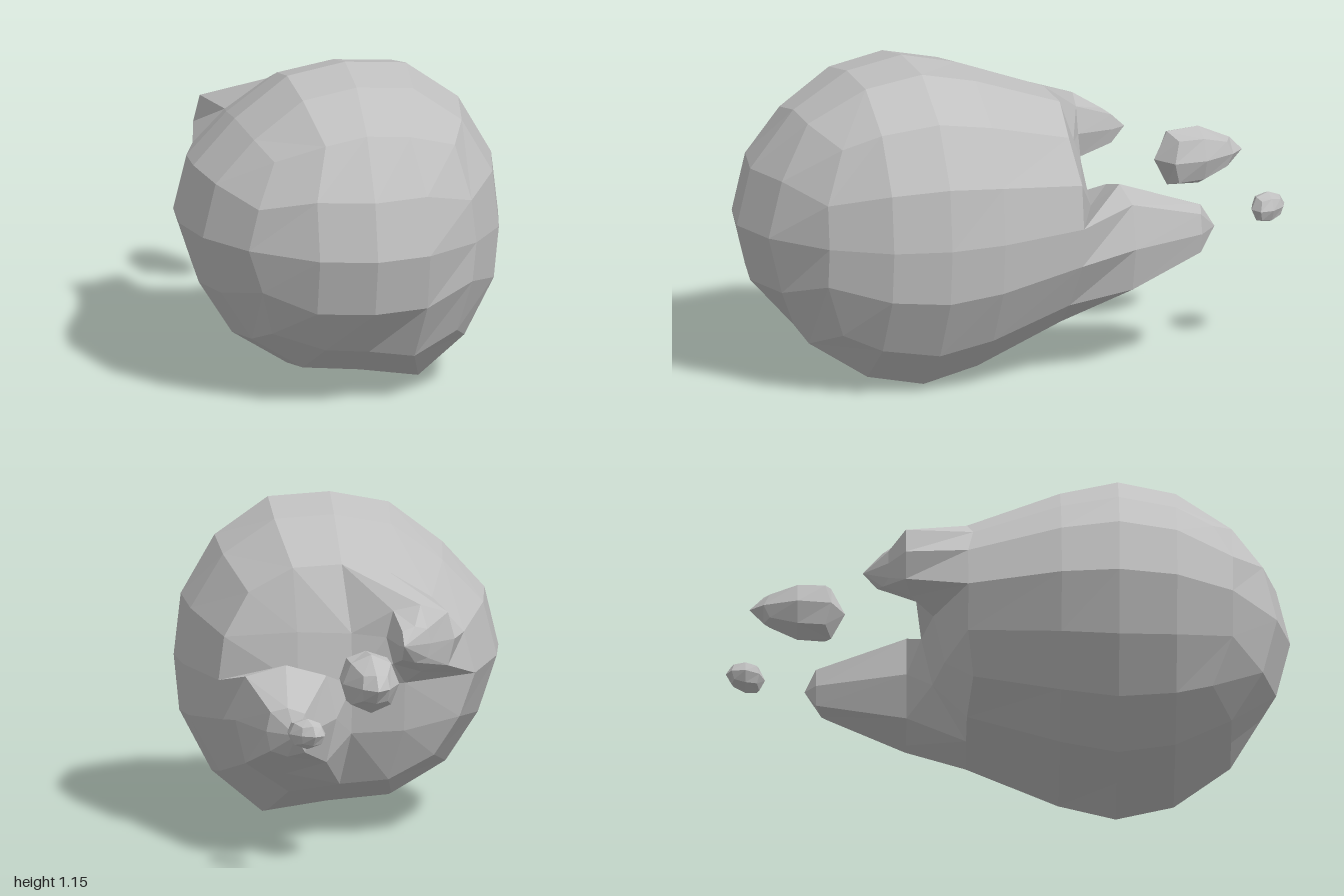
import * as THREE from 'three';

const grey = new THREE.MeshStandardMaterial({ color: 0xc0c0c0 });
grey.name = 'plain grey';

// widest cross-section, counter-clockwise from the lower left corner (4 steps per side)
const OUTLINE = [
  [-0.39, 0.18], [-0.19, 0.055], [0.03, 0.035], [0.26, 0], [0.44, 0.15], [0.555, 0.37], [0.575, 0.57], [0.55, 0.79],
  [0.43, 1], [0.24, 1.135], [0.02, 1.15], [-0.19, 1.11], [-0.38, 0.965], [-0.53, 0.8], [-0.58, 0.59], [-0.51, 0.37],
];
const MID = 0.575;

function meshFrom(name, tris) {
  const g = new THREE.BufferGeometry().setFromPoints(tris.map((p) => new THREE.Vector3(...p)));
  g.computeVertexNormals(); // unindexed, so every facet stays flat
  const mesh = new THREE.Mesh(g, grey);
  mesh.name = name;
  return mesh;
}

const quad = (out, a, b, c, d) => out.push(a, b, c, a, c, d);

// join a loop to the next loop further back
function band(out, front, back) {
  const n = front.length;
  for (let i = 0; i < n; i++) {
    const j = (i + 1) % n;
    quad(out, front[i], back[i], back[j], front[j]);
  }
}

function ring(z, sx, sy, cornerScale = 1, cornerZ = 0) {
  return OUTLINE.map(([x, y], i) => {
    const corner = i % 4 === 0;
    const s = corner ? cornerScale : 1;
    return [x * sx * s, MID + (y - MID) * sy * s, z + (corner ? cornerZ : 0)];
  });
}

// 5 x 5 grid bordered by a ring, grid[i][j] with i along x and j along y
function gridFrom(loop, inner) {
  return [0, 1, 2, 3, 4].map((i) => [0, 1, 2, 3, 4].map((j) => {
    if (j === 0) return loop[i];
    if (i === 4) return loop[4 + j];
    if (j === 4) return loop[12 - i];
    if (i === 0) return loop[16 - j];
    return inner(i - 2, j - 2);
  }));
}

// border of a 2 x 2 block of grid cells
const SQUARE = [[0, 0], [1, 0], [2, 0], [2, 1], [2, 2], [1, 2], [0, 2], [0, 1]];
const blockLoop = (grid, i, j) => SQUARE.map(([u, v]) => grid[i + u][j + v]);

// rounded section for a tail; slant pushes the +x side backwards
function section(x0, x1, y0, y1, z, slant = 0) {
  return SQUARE.map(([u, v]) => {
    const k = u !== 1 && v !== 1 ? 0.8 : 1;
    return [(x0 + x1) / 2 + ((u - 1) * k * (x1 - x0)) / 2,
      (y0 + y1) / 2 + ((v - 1) * k * (y1 - y0)) / 2, z - slant * (u - 1)];
  });
}

function tail(name, loops, tip) {
  const tris = [];
  for (let k = 0; k + 1 < loops.length; k++) band(tris, loops[k], loops[k + 1]);
  const last = loops[loops.length - 1];
  last.forEach((p, i) => tris.push(p, tip, last[(i + 1) % 8]));
  return meshFrom(name, tris);
}

// faceted droplet, narrowing and leaning towards the back
function droplet(name, x, y, z, rx, ry, rz, lean, taper) {
  const g = new THREE.BoxGeometry(2, 2, 2, 2, 2, 2).toNonIndexed();
  const p = g.attributes.position;
  const v = new THREE.Vector3();
  for (let i = 0; i < p.count; i++) {
    v.fromBufferAttribute(p, i).normalize();
    const t = 1 + taper * v.z;
    p.setXYZ(i, x + v.x * rx * t + lean * v.z, y + v.y * ry * t, z + v.z * rz);
  }
  g.computeVertexNormals();
  const mesh = new THREE.Mesh(g, grey);
  mesh.name = name;
  return mesh;
}

export function createModel() {
  const model = new THREE.Group();
  model.name = 'tailedBlob';

  // round body
  const rings = [
    ring(0.79, 0.715, 0.71, 1.13, -0.07),
    ring(0.59, 0.93, 0.93),
    ring(0.385, 1, 1),
    ring(0.18, 0.965, 0.92),
    ring(-0.15, 0.79, 0.71, 1.02, 0.02),
  ];
  const body = [];
  for (let k = 0; k + 1 < rings.length; k++) band(body, rings[k], rings[k + 1]);

  // domed front
  const front = gridFrom(rings[0], (i, j) =>
    [0.01 + i * 0.2, MID + j * 0.205, 1 - 0.05 * (i * i + j * j)]);
  for (let i = 0; i < 4; i++) for (let j = 0; j < 4; j++) {
    quad(body, front[i][j], front[i + 1][j], front[i + 1][j + 1], front[i][j + 1]);
  }

  // back, left open where the two tails grow out
  const back = gridFrom(rings[4], (i, j) =>
    [-0.01 + i * 0.19, MID + j * 0.18, -0.31 + 0.04 * (i * i + j * j)]);
  for (let i = 0; i < 4; i++) for (let j = 0; j < 4; j++) {
    if ((i >= 2) !== (j >= 2)) continue;
    quad(body, back[i][j], back[i][j + 1], back[i + 1][j + 1], back[i + 1][j]);
  }
  model.add(meshFrom('body', body));

  // long lower tail and short upper tail
  model.add(tail('longTail', [
    blockLoop(back, 2, 0),
    section(0.05, 0.41, 0.27, 0.66, -0.36),
    section(0.17, 0.32, 0.385, 0.56, -0.66, -0.02),
  ], [0.22, 0.47, -0.72]));
  model.add(tail('shortTail', [
    blockLoop(back, 0, 2),
    section(-0.37, -0.13, 0.63, 0.87, -0.35, -0.02),
    section(-0.28, -0.165, 0.68, 0.81, -0.45, 0.02),
  ], [-0.18, 0.75, -0.52]));

  // loose droplets behind
  model.add(droplet('largeDroplet', -0.045, 0.66, -0.75, 0.1, 0.105, 0.17, 0.015, 0.45));
  model.add(droplet('smallDroplet', 0.195, 0.515, -0.93, 0.064, 0.055, 0.07, 0.025, 0.15));
  return model;
}
